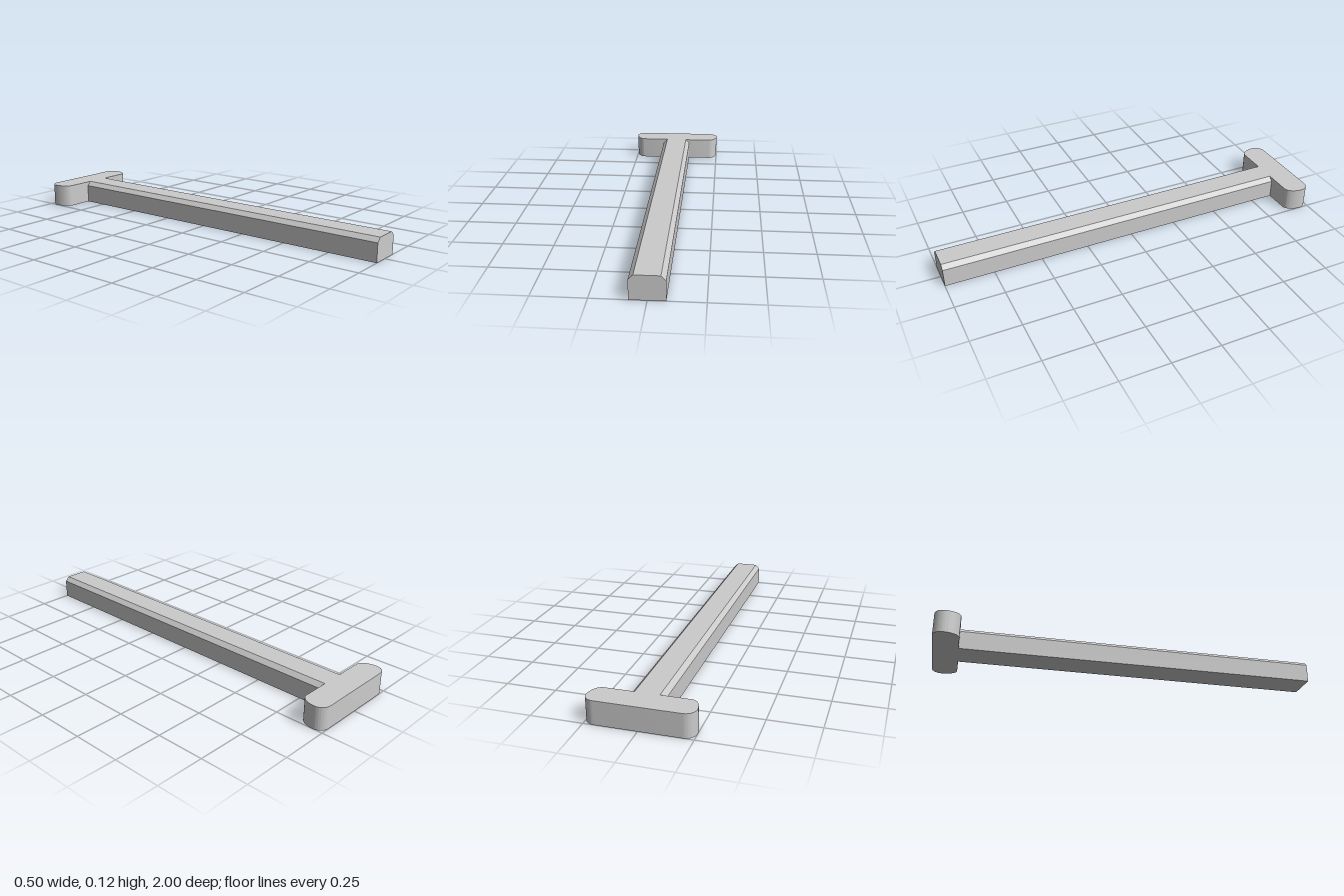
import * as THREE from 'three';
import { toCreasedNormals } from 'three/addons/utils/BufferGeometryUtils.js';

const HEIGHT = 0.117;
const HEAD_FRONT = -0.87; // z where the head meets the shaft

export function createModel() {
  const group = new THREE.Group();
  group.name = 'tHandledBar';
  const material = new THREE.MeshStandardMaterial({ color: 0xcccccc });

  const addPart = (name, geometry) => {
    const mesh = new THREE.Mesh(toCreasedNormals(geometry, Math.PI / 6), material);
    mesh.name = name;
    group.add(mesh);
  };

  // Shaft: square bar with both upper edges chamfered, running along z
  const w = 0.08, c = 0.022;
  const section = new THREE.Shape([
    [-w, 0], [w, 0], [w, HEIGHT - c], [w - c, HEIGHT], [c - w, HEIGHT], [-w, HEIGHT - c],
  ].map(([x, y]) => new THREE.Vector2(x, y)));
  const shaft = new THREE.ExtrudeGeometry(section, { depth: 1 - HEAD_FRONT, bevelEnabled: false });
  shaft.translate(0, 0, HEAD_FRONT);
  addPart('shaft', shaft);

  // Head: crossbar with rounded ends, tighter at the back (shape y becomes -z)
  const front = -HEAD_FRONT, widest = 0.95, inner = 0.2, r = 0.05;
  const plan = new THREE.Shape();
  plan.moveTo(-inner, front);
  plan.lineTo(inner, front);
  plan.absellipse(inner, widest, r, widest - front, -Math.PI / 2, 0, false);
  plan.absellipse(inner, widest, r, 1 - widest, 0, Math.PI / 2, false);
  plan.lineTo(-inner, 1);
  plan.absellipse(-inner, widest, r, 1 - widest, Math.PI / 2, Math.PI, false);
  plan.absellipse(-inner, widest, r, widest - front, Math.PI, Math.PI * 1.5, false);
  const head = new THREE.ExtrudeGeometry(plan, { depth: HEIGHT, bevelEnabled: false, curveSegments: 10 });
  head.rotateX(-Math.PI / 2);
  addPart('head', head);

  return group;
}
